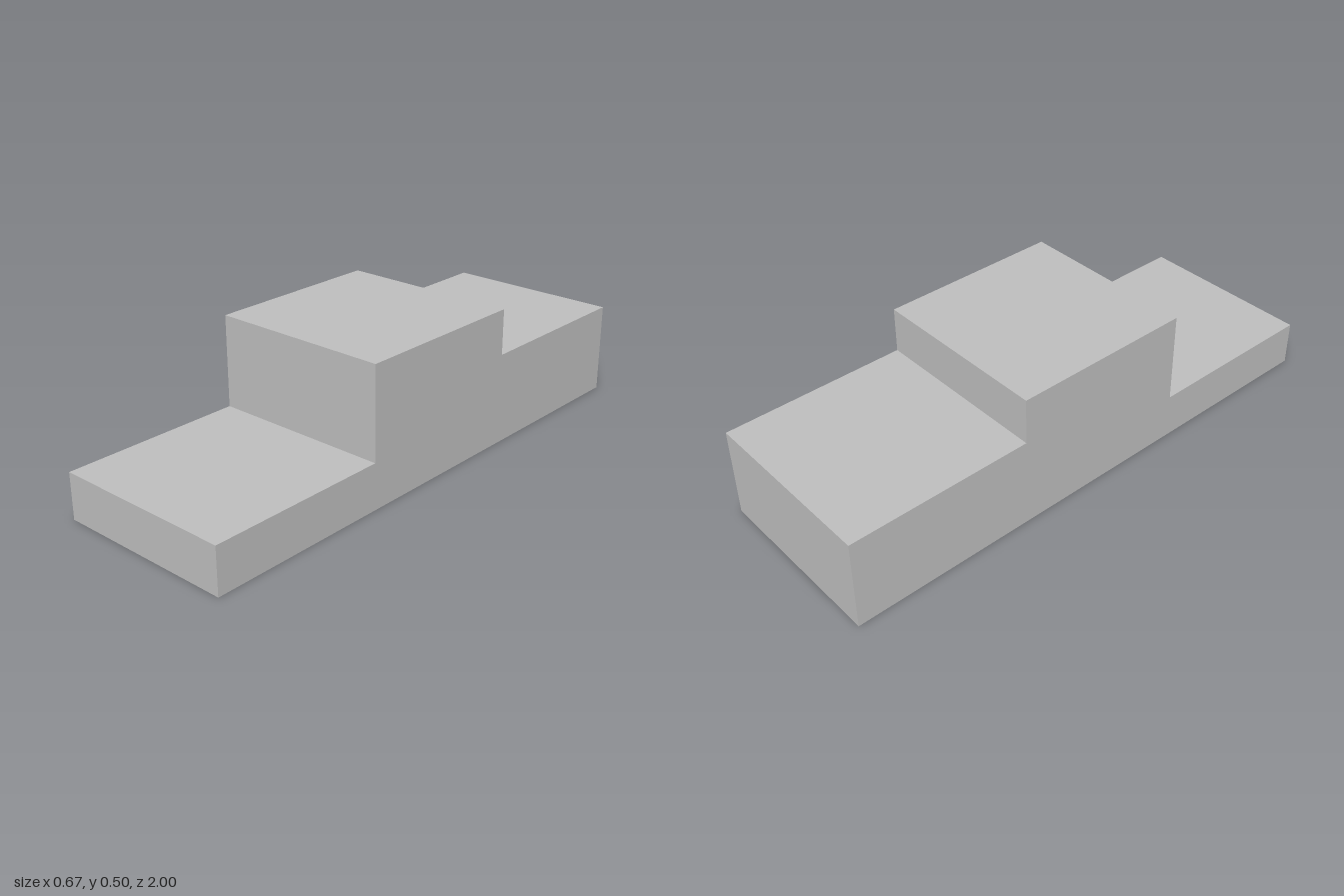
import * as THREE from 'three';

export function createModel() {
  const model = new THREE.Group();
  model.name = 'podium';

  const grey = new THREE.MeshStandardMaterial({ color: 0xbfbfbf });
  grey.name = 'grey';

  const step = 1 / 6;          // height of one level
  const width = 2 / 3;         // width, and length of each platform
  const levels = [2, 3, 1];    // back, middle and front platforms, in steps

  // Stepped side profile: shape x runs from back to front, shape y is up
  const profile = new THREE.Shape();
  profile.moveTo(-1, 0);
  levels.forEach((level, i) => {
    const back = -1 + i * width;
    profile.lineTo(back, level * step);
    profile.lineTo(back + width, level * step);
  });
  profile.lineTo(1, 0);
  profile.closePath();

  // One solid block, extruded across the width
  const geometry = new THREE.ExtrudeGeometry(profile, { depth: width, bevelEnabled: false });
  geometry.translate(0, 0, -width / 2);
  geometry.rotateY(-Math.PI / 2);

  const block = new THREE.Mesh(geometry, grey);
  block.name = 'steppedBlock';
  model.add(block);
  return model;
}
